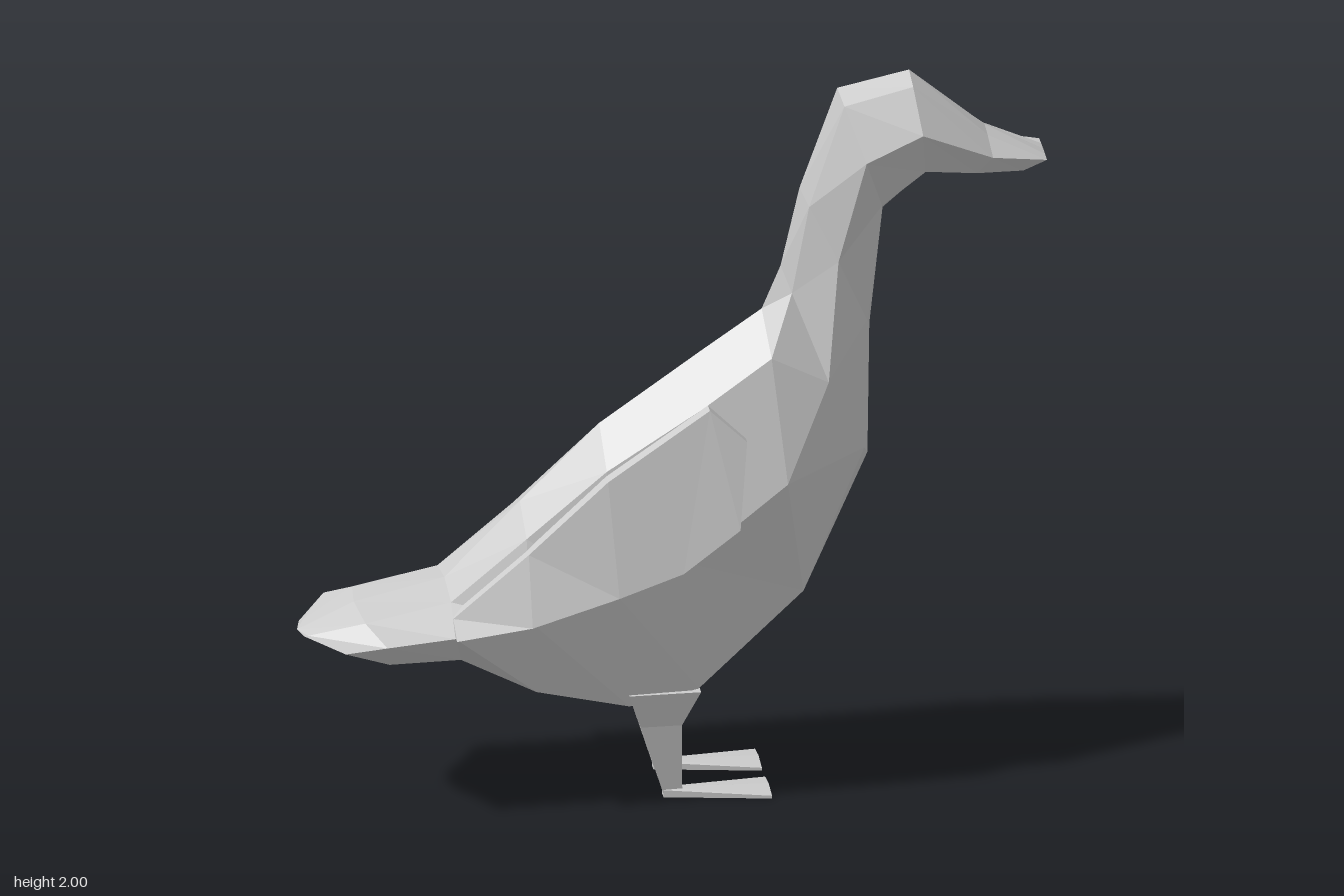
import * as THREE from 'three';

const material = new THREE.MeshStandardMaterial({ color: 0xcccccc, flatShading: true });

// Skin a list of equal-sized rings of [x, y, z] points and cap both ends.
function loft(name, rings) {
  const pos = [];
  const tri = (a, b, c) => pos.push(...a, ...b, ...c);
  const n = rings[0].length;
  const centre = (r) => [0, 1, 2].map((k) => r.reduce((s, p) => s + p[k], 0) / n);
  const first = rings[0], last = rings[rings.length - 1];
  for (let j = 0; j < n; j++) {
    const k = (j + 1) % n;
    for (let i = 0; i < rings.length - 1; i++) {
      const p = rings[i], q = rings[i + 1];
      tri(p[j], p[k], q[k]);
      tri(p[j], q[k], q[j]);
    }
    tri(centre(first), first[k], first[j]);
    tri(centre(last), last[j], last[k]);
  }
  const geometry = new THREE.BufferGeometry();
  geometry.setAttribute('position', new THREE.Float32BufferAttribute(pos, 3));
  geometry.computeVertexNormals();
  const mesh = new THREE.Mesh(geometry, material);
  mesh.name = name;
  return mesh;
}

// Mirror rings across z = 0, reversing their order so faces stay outward.
const mirrored = (rings) => rings.map((r) => r.map(([x, y, z]) => [x, y, -z]).reverse());

// Eight-sided body section: back, shoulder, flank, lower flank, belly and the mirrored half.
function bodyRing([tx, ty, sx, sy, bx, by, flank, inner]) {
  const mix = (a, b, t) => a + (b - a) * t;
  const half = [
    [mix(tx, sx, 0.22), mix(ty, sy, 0.22), inner],
    [sx, sy, flank],
    [mix(bx, sx, 0.12), mix(by, sy, 0.12), inner],
  ];
  const other = half.map(([x, y, z]) => [x, y, -z]).reverse();
  return [[tx, ty, 0], ...half, [bx, by, 0], ...other];
}

export function createModel() {
  const model = new THREE.Group();
  model.name = 'goose';

  // Tail to beak: back x,y, flank x,y, belly x,y, flank half-width, inner half-width
  const sections = [
    [-0.99, 0.50, -0.89, 0.51, -0.99, 0.50, 0.20, 0.05],
    [-0.84, 0.57, -0.78, 0.52, -0.76, 0.425, 0.20, 0.12],
    [-0.60, 0.625, -0.60, 0.535, -0.57, 0.425, 0.20, 0.12],
    [-0.40, 0.83, -0.40, 0.57, -0.37, 0.30, 0.20, 0.12],
    [-0.19, 1.04, -0.18, 0.64, -0.12, 0.225, 0.20, 0.12],
    [0.08, 1.23, 0.02, 0.71, 0.06, 0.26, 0.20, 0.12],
    [0.24, 1.34, 0.28, 0.92, 0.34, 0.53, 0.20, 0.12],
    [0.29, 1.46, 0.40, 1.17, 0.52, 0.91, 0.12, 0.04],
    [0.34, 1.68, 0.43, 1.50, 0.525, 1.28, 0.09, 0.04],
    [0.44, 1.96, 0.50, 1.79, 0.56, 1.61, 0.12, 0.04],
    [0.63, 2.00, 0.65, 1.86, 0.67, 1.705, 0.12, 0.045],
    [0.83, 1.83, 0.84, 1.77, 0.80, 1.70, 0.085, 0.04],
    [0.985, 1.75, 0.985, 1.748, 0.92, 1.70, 0.07, 0.035],
  ];
  model.add(loft('body', sections.map(bodyRing)));

  // Folded wing: upper x,y, lower x,y, upper outer z
  const wing = [
    [-0.60, 0.575, -0.60, 0.54, 0.16],
    [-0.40, 0.745, -0.40, 0.565, 0.16],
    [-0.19, 0.94, -0.17, 0.635, 0.16],
    [0.08, 1.125, 0.00, 0.695, 0.155],
    [0.175, 1.04, 0.15, 0.81, 0.18],
  ].map(([ux, uy, lx, ly, z]) => [
    [ux, uy, z - 0.04], [ux, uy, z], [lx, ly, 0.23], [lx, ly, 0.17],
  ]);

  // Leg: height, back x, front x, half-width
  const leg = [
    [0.31, -0.13, 0.06, 0.045],
    [0.21, -0.097, 0.012, 0.026],
    [0.01, -0.035, 0.015, 0.01],
  ].map(([y, x0, x1, w]) => [
    [x1, y, 0.09 + w], [x0, y, 0.09 + w], [x0, y, 0.09 - w], [x1, y, 0.09 - w],
  ]);

  // Webbed foot: x, half-width, ridge height, edge height
  const foot = [
    [-0.035, 0.012, 0.025, 0.02],
    [0.245, 0.062, 0.017, 0.008],
  ].map(([x, w, h, e]) => [
    [x, h, 0.09], [x, e, 0.09 + w], [x, 0, 0.09 + w], [x, 0, 0.09 - w], [x, e, 0.09 - w],
  ]);

  for (const [part, rings] of Object.entries({ Wing: wing, Leg: leg, Foot: foot })) {
    model.add(loft('right' + part, rings), loft('left' + part, mirrored(rings)));
  }
  return model;
}
